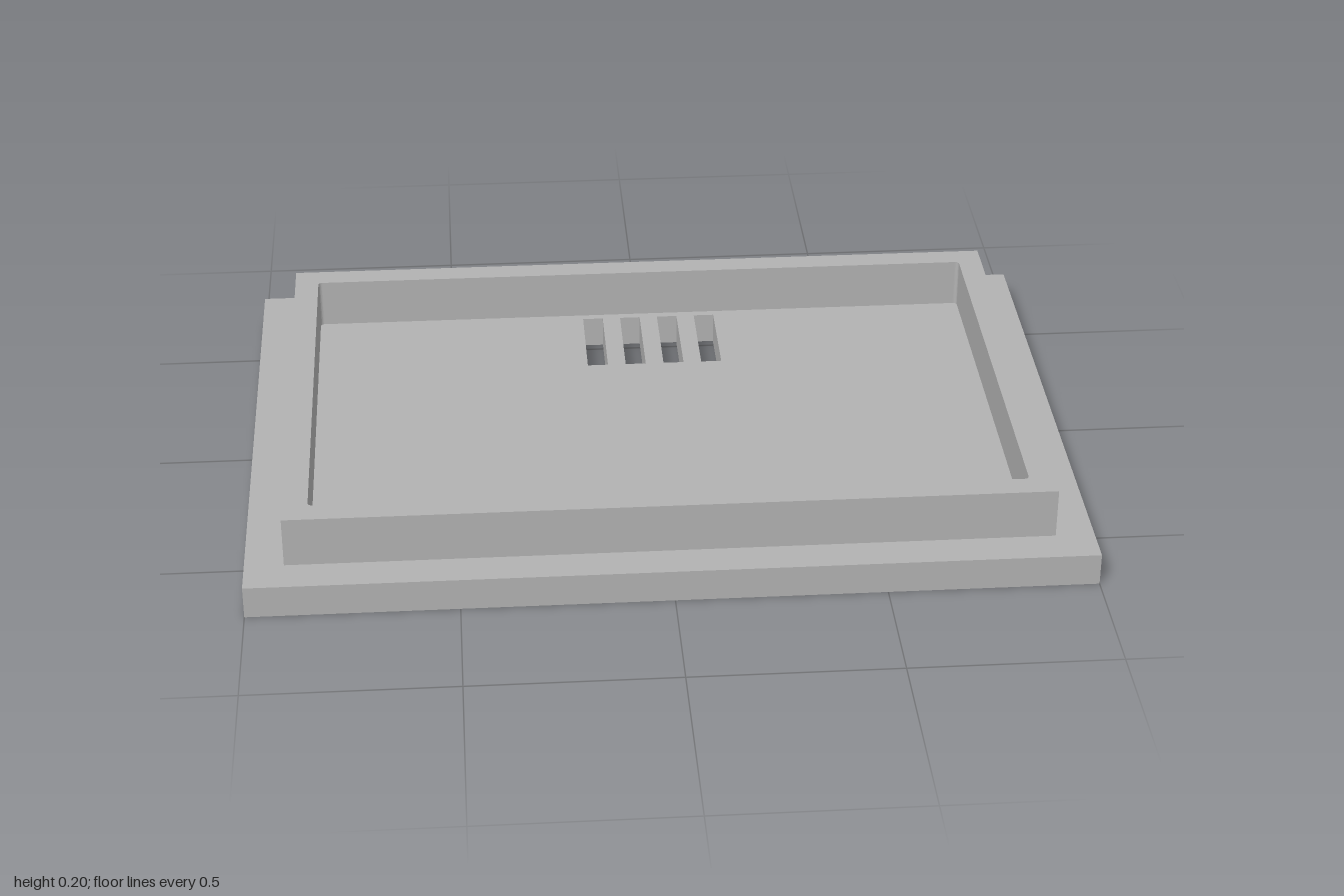
import * as THREE from 'three';

// Rectangle outline centred on (cx, cy), with optional rounded corners
function rect(target, cx, cy, w, h, r = 0) {
  const x = w / 2, y = h / 2;
  if (r === 0) {
    target.moveTo(cx - x, cy - y).lineTo(cx + x, cy - y).lineTo(cx + x, cy + y).lineTo(cx - x, cy + y);
  } else {
    target.moveTo(cx - x + r, cy - y);
    target.absarc(cx + x - r, cy - y + r, r, -Math.PI / 2, 0);
    target.absarc(cx + x - r, cy + y - r, r, 0, Math.PI / 2);
    target.absarc(cx - x + r, cy + y - r, r, Math.PI / 2, Math.PI);
    target.absarc(cx - x + r, cy - y + r, r, Math.PI, Math.PI * 1.5);
  }
  target.closePath();
  return target;
}

// Extrude a plan outline upwards from y0
function slab(name, shape, y0, height, material) {
  const geometry = new THREE.ExtrudeGeometry(shape, { depth: height, bevelEnabled: false, curveSegments: 4 });
  geometry.rotateX(-Math.PI / 2).translate(0, y0, 0);
  const mesh = new THREE.Mesh(geometry, material);
  mesh.name = name;
  return mesh;
}

export function createModel() {
  const group = new THREE.Group();
  group.name = 'ventedCover';
  const grey = new THREE.MeshStandardMaterial({ color: 0xb2b2b2 });
  grey.name = 'grey';

  // Base plate with four vent slots near the back edge
  const plate = rect(new THREE.Shape(), 0, 0, 2, 1.387);
  for (let i = 0; i < 4; i++) {
    plate.holes.push(rect(new THREE.Path(), -0.128 + i * 0.098, 0.4, 0.052, 0.246));
  }
  group.add(slab('basePlate', plate, 0, 0.08, grey));

  // Raised rim with slightly rounded inner corners
  const rim = rect(new THREE.Shape(), 0, 0, 1.814, 1.206);
  rim.holes.push(rect(new THREE.Path(), 0, 0, 1.694, 1.086, 0.01));
  group.add(slab('rim', rim, 0.08, 0.124, grey));

  return group;
}
